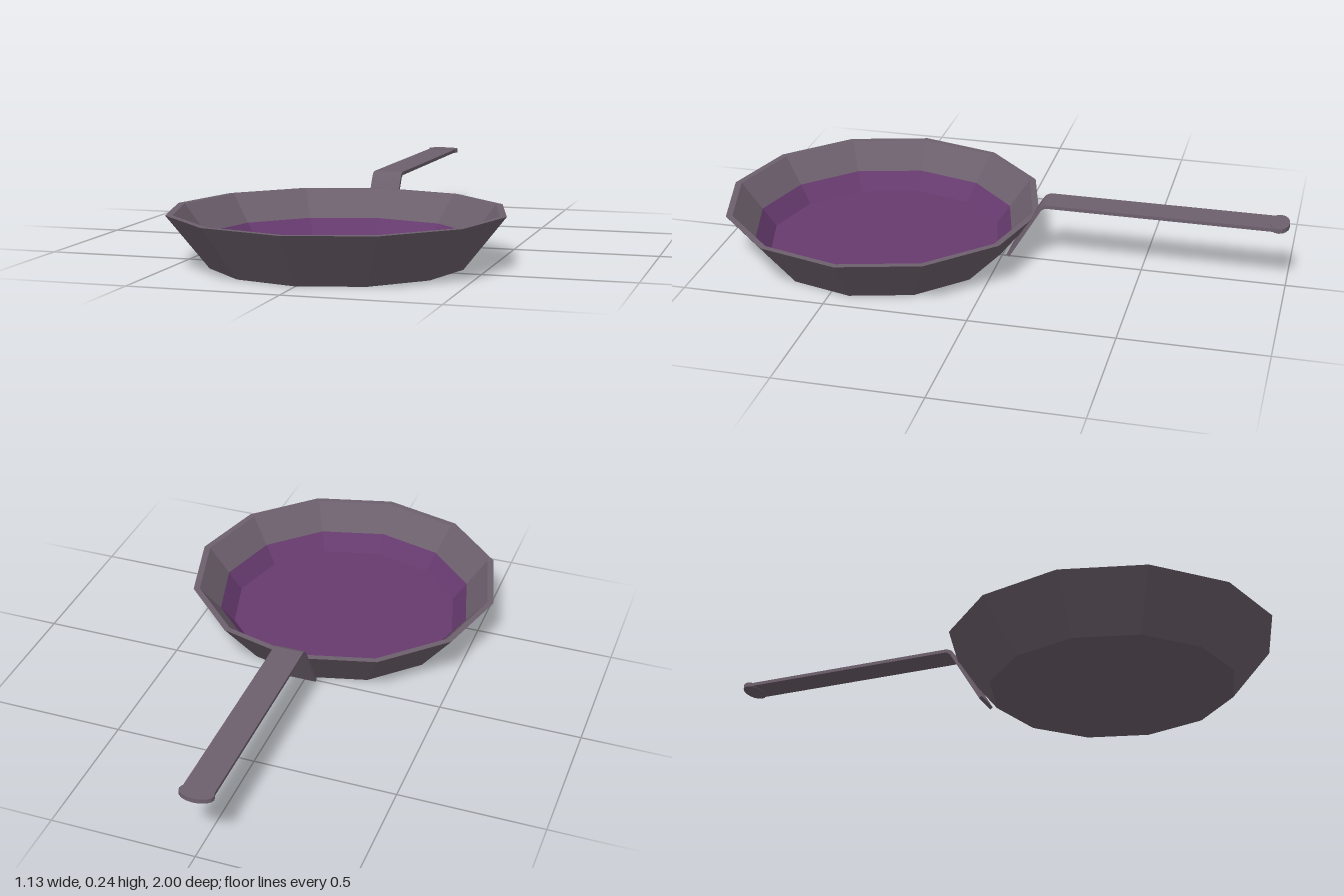
import * as THREE from 'three';

const SIDES = 12;
const PAN_Z = 0.433;

// Faceted normals for a low-poly look
function facet(geometry) {
  const g = geometry.index ? geometry.toNonIndexed() : geometry;
  g.computeVertexNormals();
  return g;
}

function lathe(points) {
  return facet(new THREE.LatheGeometry(points.map(([r, y]) => new THREE.Vector2(r, y)), SIDES));
}

export function createModel() {
  const model = new THREE.Group();
  model.name = 'fryingPan';

  const metal = new THREE.MeshStandardMaterial({ color: 0x6d606d });
  metal.name = 'greyMetal';
  const purple = new THREE.MeshStandardMaterial({ color: 0x663a6e });
  purple.name = 'purpleCoating';

  const add = (name, geometry, material) => {
    const mesh = new THREE.Mesh(geometry, material);
    mesh.name = name;
    model.add(mesh);
    return mesh;
  };

  // Base, flared wall, rim and upper inside wall
  add('panBody', lathe([[0, 0], [0.425, 0], [0.566, 0.178], [0.543, 0.178], [0.468, 0.083]]), metal)
    .position.z = PAN_Z;

  // Coated lower wall and floor
  add('panInside', lathe([[0.468, 0.083], [0.418, 0.02], [0, 0.02]]), purple)
    .position.z = PAN_Z;

  // Bent flat handle: side outline as [distance towards the back, height]
  const outline = [
    [0.028, 0.03], [0.038, 0.023], [0.143, 0.2], [0.151, 0.214], [0.165, 0.223],
    [0.965, 0.223], [0.965, 0.235], [0.163, 0.235], [0.146, 0.227], [0.134, 0.21],
  ];
  const strip = new THREE.Shape(outline.map(([d, y]) => new THREE.Vector2(d, y)));
  const handle = new THREE.ExtrudeGeometry(strip, { depth: 0.106, bevelEnabled: false });
  handle.rotateY(Math.PI / 2).translate(-0.053, 0, 0);
  add('handle', facet(handle), metal);

  // Rounded, slightly wider handle tip
  const tip = new THREE.CylinderGeometry(1, 1, 0.016, 16);
  tip.scale(0.059, 1, 0.034);
  add('handleTip', facet(tip), metal).position.set(0, 0.229, -0.966);

  return model;
}
